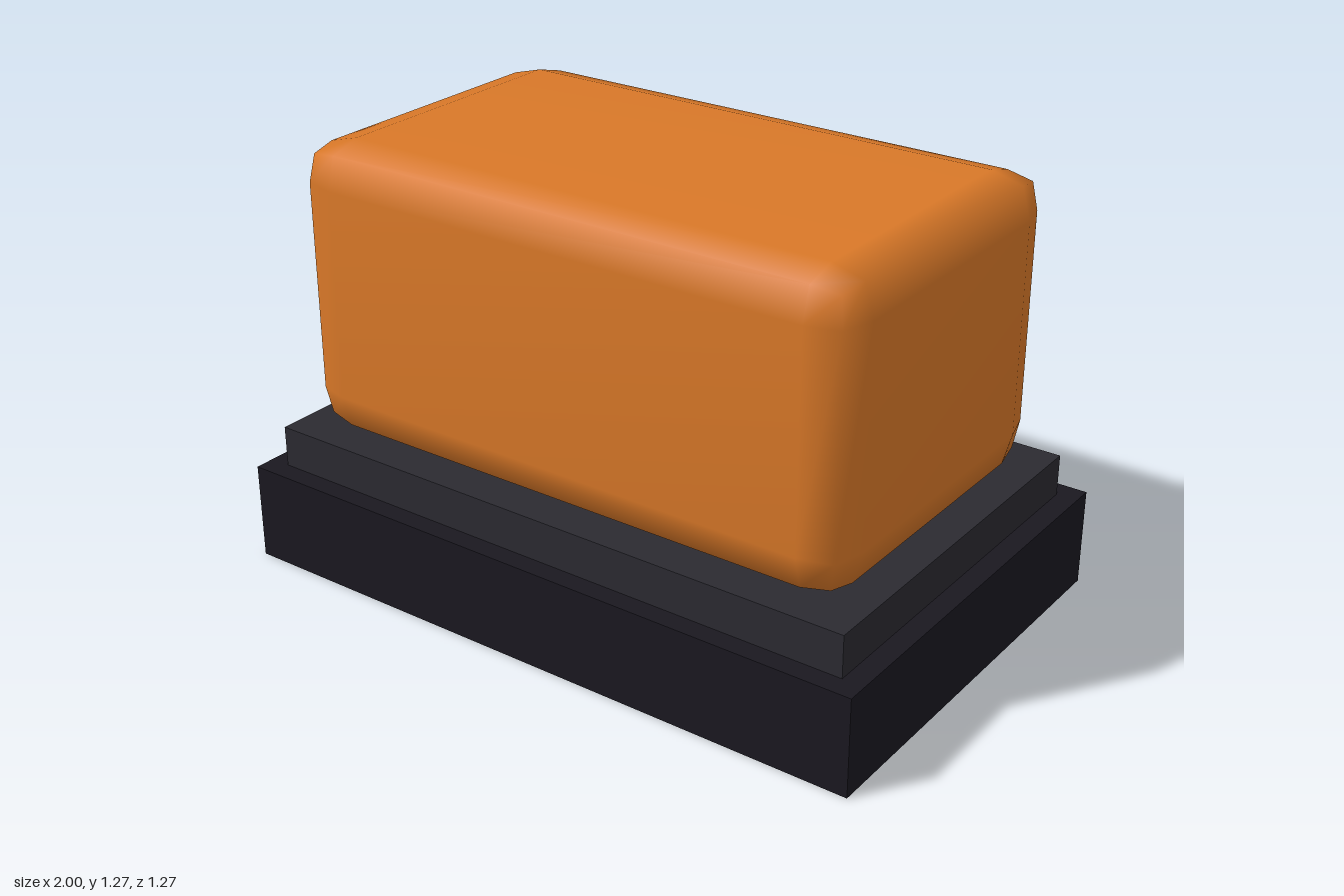
import * as THREE from 'three';
import { mergeVertices } from 'three/addons/utils/BufferGeometryUtils.js';

// Box with softly rounded edges: two facets per edge, smooth shaded.
function softBox(w, h, d, r) {
  const geo = new THREE.BoxGeometry(1, 1, 1, 3, 3, 3);
  geo.deleteAttribute('uv');
  geo.deleteAttribute('normal');
  const pos = geo.attributes.position;
  const half = [w / 2, h / 2, d / 2];
  // reach of the rounding on a face, an edge and a corner
  const reach = [0, 1, 0.785, 0.68];
  for (let i = 0; i < pos.count; i++) {
    const p = [pos.getX(i), pos.getY(i), pos.getZ(i)];
    const outer = p.map((v) => Math.abs(v) > 0.4);
    const k = reach[outer.filter(Boolean).length];
    const q = p.map((v, a) => Math.sign(v) * (half[a] - r + (outer[a] ? k * r : 0)));
    pos.setXYZ(i, ...q);
  }
  const merged = mergeVertices(geo, 1e-4);
  merged.computeVertexNormals();
  return merged;
}

export function createModel() {
  const group = new THREE.Group();

  // Adds a part standing on height y
  const add = (name, geometry, color, y, h) => {
    const mesh = new THREE.Mesh(geometry, new THREE.MeshStandardMaterial({ color }));
    mesh.name = name;
    mesh.position.y = y + h / 2;
    group.add(mesh);
  };

  // Stepped plinth
  add('base', new THREE.BoxGeometry(2, 0.288, 1.266), 0x1a1820, 0, 0.288);
  add('upperPlate', new THREE.BoxGeometry(1.875, 0.122, 1.146), 0x2b2a31, 0.288, 0.122);

  // Rounded block
  add('roundedBlock', softBox(1.75, 0.856, 1.022, 0.12), 0xd97828, 0.41, 0.856);

  return group;
}
